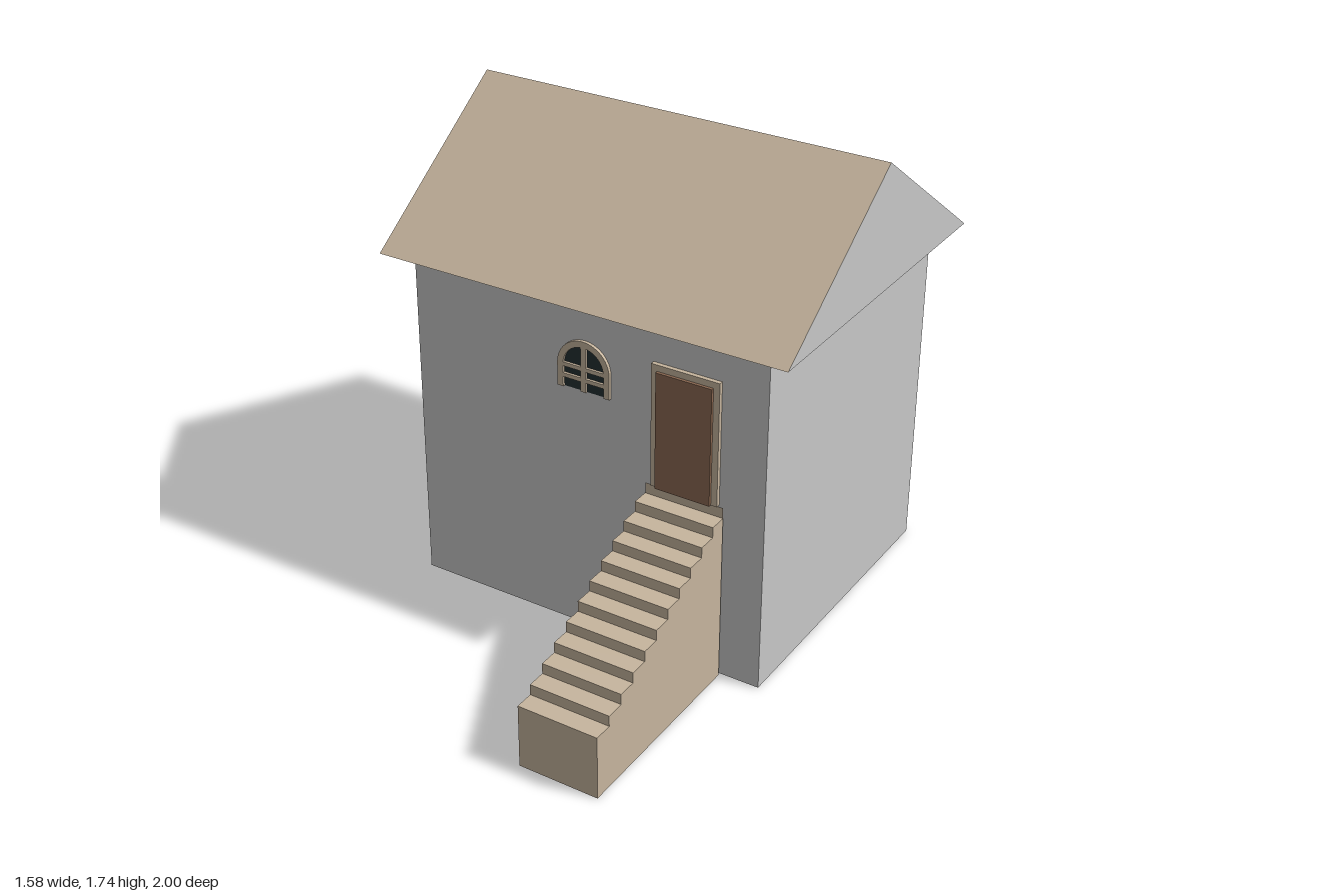
import * as THREE from 'three';

const mat = (name, color, side = THREE.FrontSide) => {
  const m = new THREE.MeshStandardMaterial({ color, side });
  m.name = name;
  return m;
};

export function createModel() {
  const house = new THREE.Group();
  house.name = 'house';

  const wallGrey = mat('wall grey', 0xc8c8c8, THREE.DoubleSide);
  const tan = mat('sandstone tan', 0xc6b59e, THREE.DoubleSide);
  const brown = mat('door brown', 0x8b6952);
  const glass = mat('dark glass', 0x243032);

  const add = (name, geometry, material, parent = house) => {
    const mesh = new THREE.Mesh(geometry, material);
    mesh.name = name;
    parent.add(mesh);
    return mesh;
  };
  const box = (name, x0, x1, y0, y1, z0, z1, material, parent) =>
    add(name, new THREE.BoxGeometry(x1 - x0, y1 - y0, z1 - z0), material, parent)
      .position.set((x0 + x1) / 2, (y0 + y1) / 2, (z0 + z1) / 2);
  // Flat convex sheet, corners counter-clockwise seen from outside
  const sheet = (name, corners, material) => {
    const points = [];
    for (let i = 1; i < corners.length - 1; i++) {
      points.push(...corners[0], ...corners[i], ...corners[i + 1]);
    }
    const g = new THREE.BufferGeometry();
    g.setAttribute('position', new THREE.Float32BufferAttribute(points, 3));
    g.computeVertexNormals();
    return add(name, g, material);
  };

  // Thin walls, open underneath, with a raised floor inside
  const W = 0.693, back = -0.93, front = 0.23, H = 1.28, floorY = 0.66;
  const plan = [[-W, front], [W, front], [W, back], [-W, back]];
  ['frontWall', 'leftWall', 'backWall', 'rightWall'].forEach((name, i) => {
    const [ax, az] = plan[i], [bx, bz] = plan[(i + 1) % 4];
    sheet(name, [[ax, 0, az], [bx, 0, bz], [bx, H, bz], [ax, H, az]], wallGrey);
  });
  sheet('floor', plan.map(([x, z]) => [x, floorY, z]), wallGrey);

  // Roof: two slopes and two gables, open underneath
  const R = 0.79, eaveF = 0.3, eaveB = -1, ridgeZ = -0.35, ridgeY = 1.74;
  sheet('frontRoofSlope', [[-R, H, eaveF], [R, H, eaveF], [R, ridgeY, ridgeZ], [-R, ridgeY, ridgeZ]], tan);
  sheet('backRoofSlope', [[R, H, eaveB], [-R, H, eaveB], [-R, ridgeY, ridgeZ], [R, ridgeY, ridgeZ]], tan);
  sheet('leftGable', [[R, H, eaveF], [R, H, eaveB], [R, ridgeY, ridgeZ]], wallGrey);
  sheet('rightGable', [[-R, H, eaveB], [-R, H, eaveF], [-R, ridgeY, ridgeZ]], wallGrey);

  // Stairs: one stepped profile extruded across the flight
  const steps = 11, run = 0.0695, rise = 0.0395, stairBack = 0.24;
  const profile = new THREE.Shape();
  profile.moveTo(-stairBack, 0);
  profile.lineTo(-1, 0);
  for (let i = 0; i < steps; i++) {
    const y = 0.24 + i * rise;
    profile.lineTo(-1 + i * run, y);
    profile.lineTo(i < steps - 1 ? -1 + (i + 1) * run : -stairBack, y);
  }
  const stairs = add('stairs', new THREE.ExtrudeGeometry(profile, { depth: 0.3, bevelEnabled: false }), tan);
  stairs.rotation.y = Math.PI / 2;
  stairs.position.x = 0.244;
  sheet('topRiser', [[0.244, 0.635, stairBack], [0.544, 0.635, stairBack],
    [0.544, 0.675, stairBack], [0.244, 0.675, stairBack]], tan);

  // Door with its frame
  box('doorFrameRight', 0.267, 0.29, 0.675, 1.136, front, 0.246, tan);
  box('doorFrameLeft', 0.5, 0.523, 0.675, 1.136, front, 0.246, tan);
  box('doorFrameTop', 0.29, 0.5, 1.113, 1.136, front, 0.246, tan);
  box('door', 0.29, 0.5, 0.675, 1.113, front, 0.257, brown);

  // Arched window, built facing +z with its foot at y = 0
  const spring = 0.086, outer = 0.103, inner = 0.08, bar = 0.01;
  const makeWindow = (name, depth, glazed) => {
    const group = new THREE.Group();
    group.name = name;
    const arch = new THREE.Shape();
    arch.moveTo(outer, 0);
    arch.lineTo(outer, spring);
    arch.absarc(0, spring, outer, 0, Math.PI, false);
    arch.lineTo(-outer, 0);
    arch.lineTo(-inner, 0);
    arch.lineTo(-inner, spring);
    arch.absarc(0, spring, inner, Math.PI, 0, true);
    arch.lineTo(inner, 0);
    add('windowFrame', new THREE.ExtrudeGeometry(arch, { depth, bevelEnabled: false, curveSegments: 14 }), tan, group);
    box('verticalBar', -bar, bar, 0, spring + inner, 0, depth, tan, group);
    for (const y of [0.037, 0.078]) {
      for (const s of [-1, 1]) {
        box('crossBar', Math.min(s * bar, s * inner), Math.max(s * bar, s * inner), y, y + 0.015, 0, depth, tan, group);
      }
    }
    if (glazed) {
      const pane = new THREE.Shape();
      pane.moveTo(inner, 0);
      pane.lineTo(inner, spring);
      pane.absarc(0, spring, inner, 0, Math.PI, false);
      pane.lineTo(-inner, 0);
      add('windowGlass', new THREE.ShapeGeometry(pane, 14), glass, group).position.z = 0.003;
    }
    house.add(group);
    return group;
  };
  makeWindow('frontWindow', 0.012, true).position.set(0, 0.947, front);
  const side = makeWindow('sideWindow', 0.004, false);
  side.position.set(-W, 0.947, -0.32);
  side.rotation.y = -Math.PI / 2;

  return house;
}
